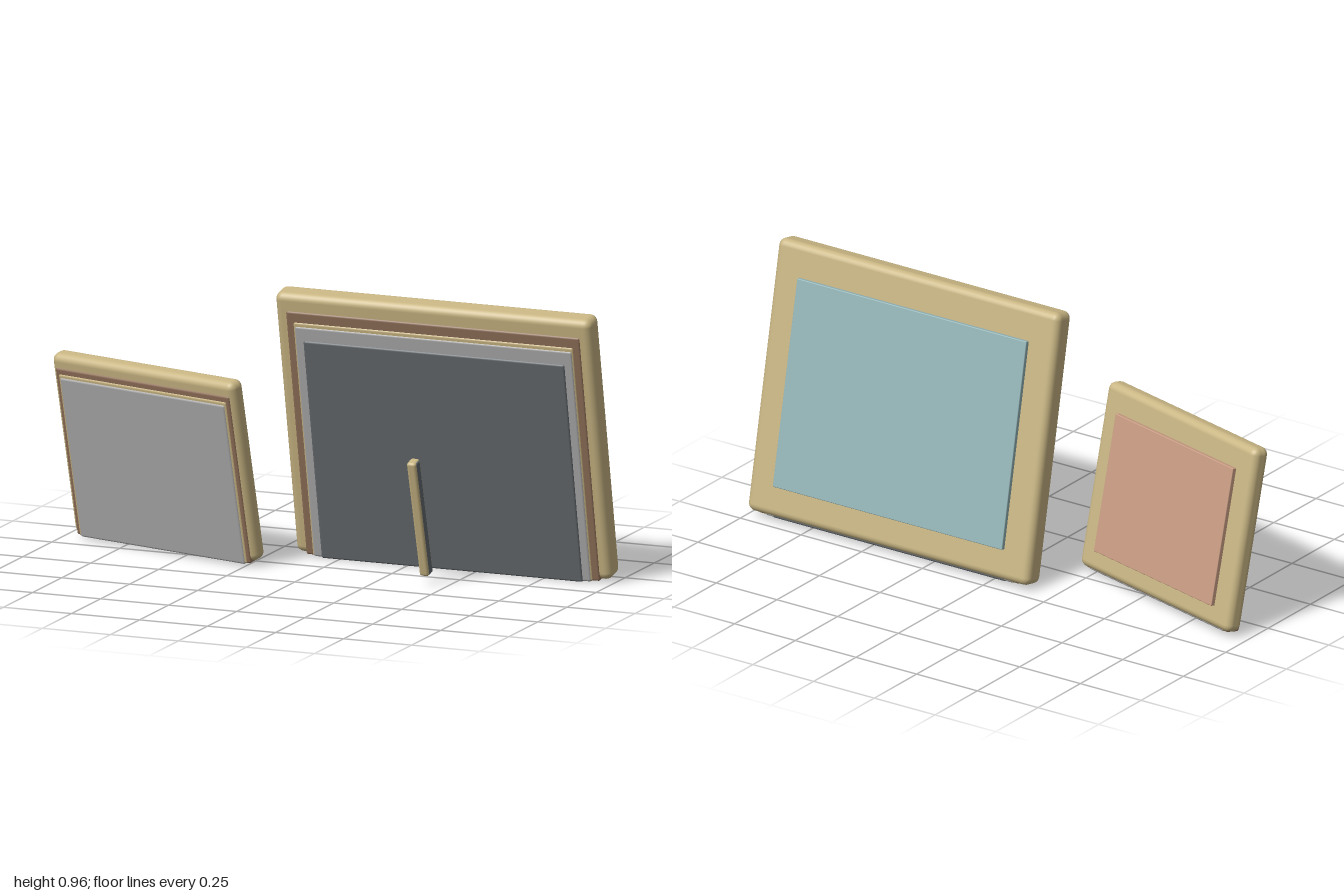
import * as THREE from 'three';
import { RoundedBoxGeometry } from 'three/addons/geometries/RoundedBoxGeometry.js';

const mat = (color) => new THREE.MeshStandardMaterial({ color });
const WOOD = mat(0xc8b583), BROWN = mat(0x8f6f58), GREY = mat(0xaaaaaa);
const DARK = mat(0x64696c), BLUE = mat(0x94b5b8), PINK = mat(0xc99d84);

// Rounded slab given by its extents in y and z, centred on x
function slab(name, material, w, [y0, y1], [z0, z1], radius) {
  const geo = new RoundedBoxGeometry(w, y1 - y0, z1 - z0, 3, radius);
  const mesh = new THREE.Mesh(geo, material);
  mesh.name = name;
  mesh.position.set(0, (y0 + y1) / 2, (z0 + z1) / 2);
  return mesh;
}

// Leaning picture frame: border, picture on the back, stepped backing layers on the front
function pictureFrame(name, { w, h, d, picture, layers }) {
  const g = new THREE.Group();
  g.name = name;
  g.add(slab('border', WOOD, w, [-h / 2, h / 2], [-d / 2, d / 2], 0.026));
  const [material, pw, p0, p1] = picture;
  g.add(slab('picture', material, pw, [p0, p1], [-d / 2 - 0.015, 0], 0.003));
  // each layer is narrower and lower, stands out further, and wraps under the bottom edge
  layers.forEach(([layerName, m, lw, top, out]) => {
    g.add(slab(layerName, m, lw, [-h / 2 - out * 0.4, top], [-d / 2 + 0.016, d / 2 + out], 0.008));
  });
  g.rotation.order = 'YXZ';
  g.rotation.x = 0.2;
  return g;
}

export function createModel() {
  const model = new THREE.Group();
  model.name = 'pictureFrames';

  const large = pictureFrame('largeFrame', {
    w: 1.16, h: 0.955, d: 0.088,
    picture: [BLUE, 0.945, -0.37, 0.36],
    layers: [
      ['backingEdge', BROWN, 1.08, 0.417, 0.004],
      ['backingLip', WOOD, 1.03, 0.38, 0.007],
      ['backingSheet', GREY, 1.02, 0.366, 0.01],
      ['backingBoard', DARK, 0.96, 0.317, 0.015],
    ],
  });
  large.position.set(0.415, 0.482, -0.09);
  model.add(large);

  const small = pictureFrame('smallFrame', {
    w: 0.78, h: 0.655, d: 0.068,
    picture: [PINK, 0.615, -0.253, 0.236],
    layers: [
      ['backingEdge', BROWN, 0.745, 0.282, 0.004],
      ['backingLip', WOOD, 0.72, 0.262, 0.007],
      ['backingBoard', GREY, 0.705, 0.25, 0.011],
    ],
  });
  small.position.set(-0.597, 0.338, 0.025);
  small.rotation.y = -0.26;
  model.add(small);

  // Easel leg: wooden strip with a grey inlay on both sides
  const leg = new THREE.Group();
  leg.name = 'easelLeg';
  leg.add(slab('legStrip', WOOD, 0.034, [-0.215, 0.215], [-0.023, 0.023], 0.01));
  leg.add(slab('legInlay', DARK, 0.038, [-0.212, 0.212], [-0.015, 0.015], 0.006));
  leg.position.set(0.415, 0.237, 0.147);
  leg.rotation.x = 0.27;
  model.add(leg);

  return model;
}
